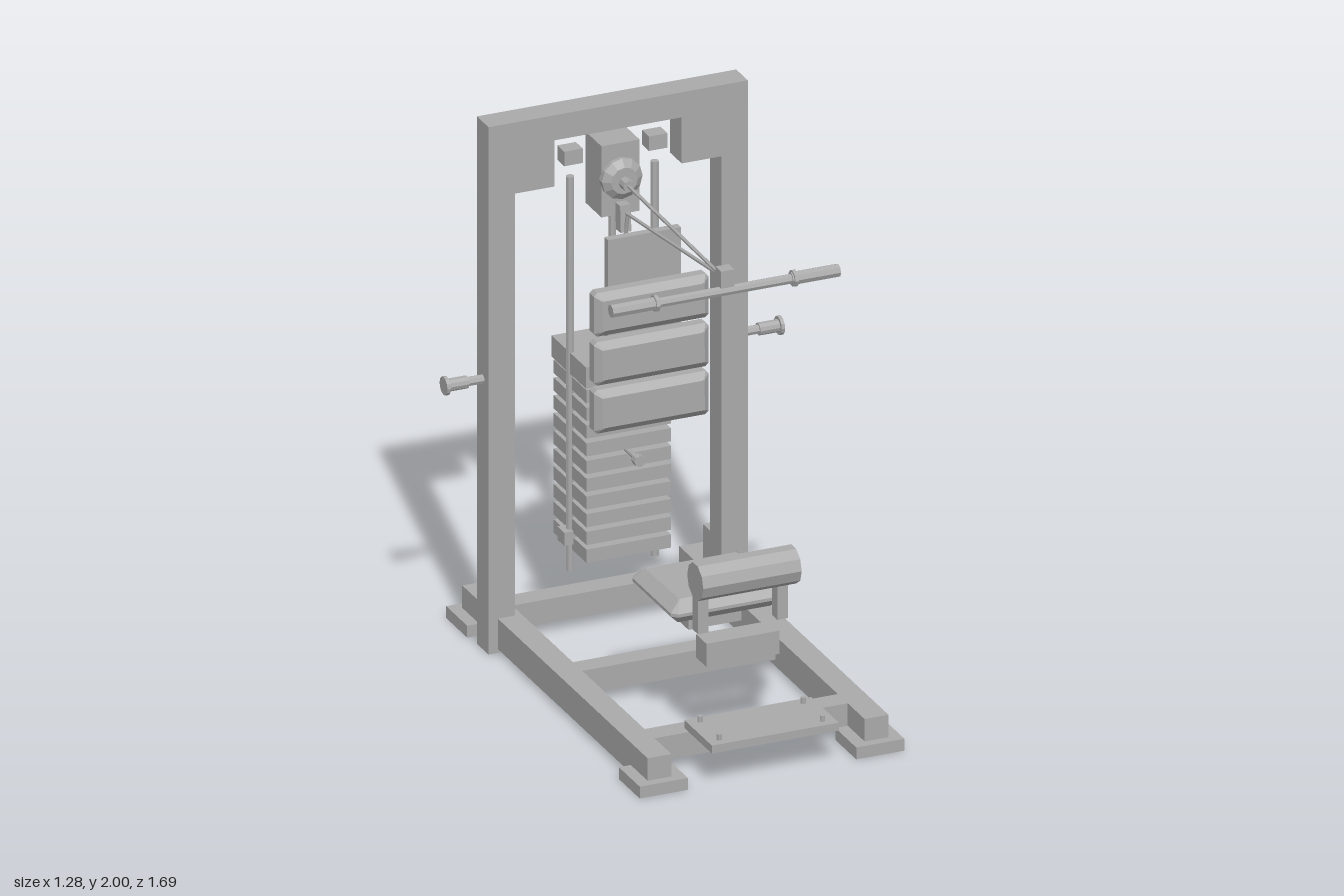
import * as THREE from 'three';

const steel = new THREE.MeshStandardMaterial({ color: 0xaaaaaa, flatShading: true });
steel.name = 'grey steel';

export function createModel() {
  const root = new THREE.Group();
  root.name = 'cableMachine';

  const add = (name, geo) => {
    const m = new THREE.Mesh(geo, steel);
    m.name = name;
    root.add(m);
    return m;
  };
  // box given by its limits on each axis
  const box = (name, x0, x1, y0, y1, z0, z1) => {
    const m = add(name, new THREE.BoxGeometry(Math.abs(x1 - x0), y1 - y0, z1 - z0));
    m.position.set((x0 + x1) / 2, (y0 + y1) / 2, (z0 + z1) / 2);
    return m;
  };
  // round bar between two points
  const bar = (name, a, b, r, sides = 8, r2 = r) => {
    const p = new THREE.Vector3(...a), q = new THREE.Vector3(...b);
    const m = add(name, new THREE.CylinderGeometry(r2, r, p.distanceTo(q), sides));
    m.position.copy(p).add(q).multiplyScalar(0.5);
    m.quaternion.setFromUnitVectors(new THREE.Vector3(0, 1, 0), q.sub(p).normalize());
    return m;
  };
  // chamfered pad facing +z
  const pad = (name, w, h, d, size, thick, cut) => {
    const x = w / 2, y = h / 2;
    const shape = new THREE.Shape([
      [x - cut, -y], [x, cut - y], [x, y - cut], [x - cut, y],
      [cut - x, y], [-x, y - cut], [-x, cut - y], [cut - x, -y],
    ].map((p) => new THREE.Vector2(...p)));
    const geo = new THREE.ExtrudeGeometry(shape, {
      depth: d - 2 * thick, bevelThickness: thick, bevelSize: size, bevelOffset: -size, bevelSegments: 1,
    });
    geo.center();
    return add(name, geo);
  };

  // frame, mirrored parts
  for (const s of [1, -1]) {
    box('upright', s * 0.39, s * 0.49, 0, 1.905, -0.6, -0.5);
    box('cornerGusset', s * 0.24, s * 0.39, 1.73, 1.905, -0.6, -0.5);
    box('sideRail', s * 0.365, s * 0.455, 0.015, 0.13, -0.805, 0.785);
    box('frontFoot', s * 0.318, s * 0.5, 0, 0.045, 0.64, 0.82);
    box('rearFoot', s * 0.318, s * 0.5, 0, 0.045, -0.84, -0.66);
    box('uprightBracket', s * 0.39, s * 0.45, 0.11, 0.27, -0.66, -0.6);

    // storage pegs on the uprights
    bar('pegShaft', [s * 0.48, 1.025, -0.55], [s * 0.56, 1.025, -0.55], 0.017);
    bar('pegSleeve', [s * 0.55, 1.025, -0.55], [s * 0.635, 1.025, -0.55], 0.023, 10);
    bar('pegFlange', [s * 0.625, 1.025, -0.55], [s * 0.638, 1.025, -0.55], 0.034, 12);

    // guide rods with their clips
    bar('guideRod', [s * 0.16, 0.24, -0.55], [s * 0.16, 1.735, -0.55], 0.015);
    box('upperRodClip', s * 0.125, s * 0.195, 1.79, 1.845, -0.58, -0.52);
    box('lowerRodClip', s * 0.125, s * 0.195, 0.35, 0.4, -0.58, -0.52);

    // pull bar grips
    bar('grip', [s * 0.25, 1.667, 0.412], [s * 0.43, 1.667, 0.412], 0.024);
    bar('gripCollar', [s * 0.255, 1.667, 0.412], [s * 0.268, 1.667, 0.412], 0.031);

    box('kneeArm', s * 0.13, s * 0.17, 0.46, 0.66, 0.525, 0.57);
    for (const z of [0.645, 0.81]) bar('footplateBolt', [s * 0.195, 0.16, z], [s * 0.195, 0.187, z], 0.01);
  }
  box('topBeam', -0.49, 0.49, 1.905, 2, -0.6, -0.5);
  for (const [z0, z1] of [[0.555, 0.64], [-0.06, 0.02], [-0.665, -0.58]]) {
    box('crossRail', -0.365, 0.365, 0.04, 0.13, z0, z1);
  }

  // weight stack
  for (let i = 0; i < 10; i++) {
    const y = 0.325 + i * 0.0672;
    box('weightPlate', -0.16, 0.16, y, y + 0.05, -0.69, -0.41);
  }
  box('topWeightPlate', -0.165, 0.165, 0.99, 1.07, -0.698, -0.402);
  bar('liftRod', [0, 0.27, -0.55], [0, 1.6, -0.55], 0.0135);
  bar('selectorPin', [0, 0.72, -0.46], [0, 0.72, -0.33], 0.009);
  bar('selectorKnob', [0, 0.72, -0.342], [0, 0.72, -0.312], 0.021);

  // pulleys
  box('pulleyHousing', -0.072, 0.072, 1.59, 1.86, -0.615, -0.48);
  bar('pulleyWheel', [0, 1.73, -0.49], [0, 1.73, -0.465], 0.077, 12);
  bar('pulleyRim', [0, 1.73, -0.465], [0, 1.73, -0.445], 0.077, 12, 0.05);
  bar('pulleyHub', [0, 1.725, -0.45], [0, 1.725, -0.405], 0.022, 8);
  const guide = box('guidePulley', -0.02, 0.02, 1.54, 1.64, -0.477, -0.435);
  guide.rotation.x = -0.06;

  // cables
  bar('upperCable', [0, 1.713, 0.4], [0, 1.725, -0.44], 0.007, 6);
  bar('lowerCable', [0, 1.713, 0.4], [0, 1.615, -0.42], 0.007, 6);
  bar('dropCable', [0, 1.62, -0.418], [0, 1.07, -0.53], 0.007, 6);

  // pull bar
  bar('pullBar', [-0.27, 1.667, 0.412], [0.27, 1.667, 0.412], 0.018);
  box('barConnector', -0.025, 0.025, 1.69, 1.755, 0.39, 0.44);

  // back rest
  box('backBoard', -0.138, 0.138, 0.93, 1.6, -0.305, -0.275);
  for (const y of [1.353, 1.167, 0.985]) {
    pad('backCushion', 0.434, 0.165, 0.08, 0.026, 0.022, 0.012).position.set(0, y, -0.235);
  }

  // seat
  const seat = pad('seat', 0.426, 0.368, 0.088, 0.043, 0.038, 0.02);
  seat.rotation.x = -Math.PI / 2;
  seat.position.set(0, 0.484, 0.268);
  box('seatMount', -0.1, 0.1, 0.365, 0.45, 0.205, 0.33);
  for (const y of [0.39, 0.545]) bar('seatBolt', [0.06, y, 0.265], [0.08, y, 0.265], 0.01);

  // knee hold-down
  bar('kneeRoller', [-0.186, 0.668, 0.583], [0.186, 0.668, 0.583], 0.069, 10);
  box('kneeMount', -0.138, 0.138, 0.33, 0.418, 0.48, 0.57);

  box('footplate', -0.24, 0.24, 0.135, 0.165, 0.612, 0.848);

  return root;
}
